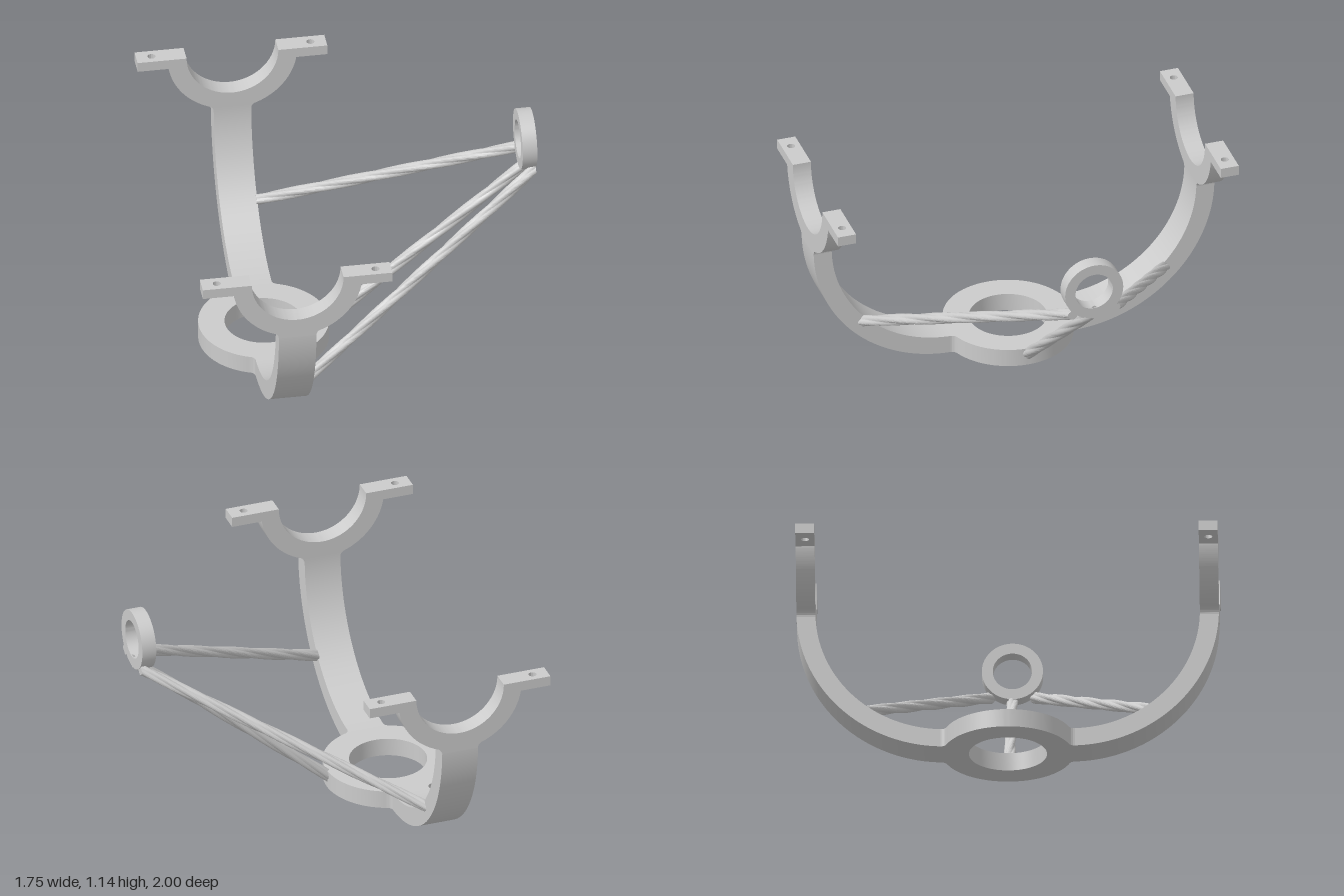
import * as THREE from 'three';
import { toCreasedNormals } from 'three/addons/utils/BufferGeometryUtils.js';

const PI = Math.PI;
const material = new THREE.MeshStandardMaterial({ color: 0xcccccc });
const CX = -0.42;            // x of the cradle's middle plane
const T = 0.09;              // plate thickness, also half the arm width
const R = 0.31;              // outer radius of base ring and yokes
const F = 0.03;              // fillet radius where an arm meets a ring
const NY = Math.sqrt((R + F) ** 2 - (T + F) ** 2);
const A = Math.atan2(NY, T + F);

function mesh(name, geometry, crease = 0.5) {
  const m = new THREE.Mesh(toCreasedNormals(geometry, crease), material);
  m.name = name;
  return m;
}

function extrude(shape, depth) {
  return new THREE.ExtrudeGeometry(shape, { depth, bevelEnabled: false, curveSegments: 40 });
}

function circleHole(x, y, r) {
  return new THREE.Path().absarc(x, y, r, 0, 2 * PI, true);
}

// Base ring with a filleted neck toward each arm
function baseRing() {
  const s = new THREE.Shape();
  s.moveTo(T, -NY);
  s.absarc(T + F, -NY, F, PI, PI - A, true);
  s.absarc(0, 0, R, -A, A, false);
  s.absarc(T + F, NY, F, PI + A, PI, true);
  s.lineTo(-T, NY);
  s.absarc(-T - F, NY, F, 0, -A, true);
  s.absarc(0, 0, R, PI - A, PI + A, false);
  s.absarc(-T - F, -NY, F, A, 0, true);
  s.holes.push(circleHole(0, 0, 0.185));
  const m = mesh('baseRing', extrude(s, T).rotateX(-PI / 2));
  m.position.x = CX;
  return m;
}

// Quarter-circle arm rising from the base to a yoke
function arm() {
  const s = new THREE.Shape();
  s.moveTo(0.3, 0);
  s.absarc(0.3, 0.7, 0.7, -PI / 2, 0, false);
  s.lineTo(1 - T, 0.7);
  s.absarc(0.3, 0.7, 0.7 - T, 0, -PI / 2, true);
  return mesh('arm', extrude(s, 2 * T).rotateY(-PI / 2).translate(T, 0, 0));
}

// Half-ring saddle on top of an arm
function yoke() {
  const b = Math.asin(0.05 / R), edge = R * Math.cos(b), r = 0.22;
  const s = new THREE.Shape();
  s.moveTo(T, -NY);
  s.absarc(T + F, -NY, F, PI, PI - A, true);
  s.absarc(0, 0, R, -A, -b, false);
  s.lineTo(edge, 0);
  s.lineTo(r, 0);
  s.absarc(0, 0, r, 0, -PI, true);
  s.lineTo(-edge, 0);
  s.absarc(0, 0, R, PI + b, PI + A, false);
  s.absarc(-T - F, -NY, F, A, 0, true);
  return mesh('yoke', extrude(s, T).translate(0, 1, 1 - T));
}

// Drilled mounting tab beside the saddle
function tab(side) {
  const s = new THREE.Shape();
  const x0 = 0.3, x1 = 0.455, h = T / 2;
  s.moveTo(x0, -h);
  s.lineTo(x1, -h);
  s.lineTo(x1, h);
  s.lineTo(x0, h);
  s.holes.push(circleHole(0.381, 0, 0.019));
  const m = mesh('mountingTab', extrude(s, 0.05).rotateX(-PI / 2));
  m.position.set(0, 0.95, 1 - h);
  if (side < 0) m.rotation.y = PI;
  return m;
}

// Upright eyelet facing along x
function eyelet() {
  const s = new THREE.Shape();
  s.absarc(0, 0, 0.145, 0, 2 * PI, false);
  s.holes.push(circleHole(0, 0, 0.093));
  const m = mesh('eyelet', extrude(s, 0.07).rotateY(PI / 2));
  m.position.set(0.8, 1, 0);
  return m;
}

// Twisted, lobed rod whose ends are cut flat across x
function twistedRod(name, start, end, turns) {
  const N = 24, M = 64, lobes = 4;
  const dir = end.clone().sub(start).normalize();
  const u = new THREE.Vector3(0, 1, 0).cross(dir).normalize();
  const v = dir.clone().cross(u);
  const pos = [], idx = [];
  for (let i = 0; i <= M; i++) {
    const c = start.clone().lerp(end, i / M);
    for (let j = 0; j < N; j++) {
      const a = (j / N) * 2 * PI;
      const twist = a + (i / M) * turns * 2 * PI;
      const r = 0.021 + 0.007 * Math.abs(Math.cos(a * lobes / 2));
      const o = u.clone().multiplyScalar(r * Math.cos(twist)).addScaledVector(v, r * Math.sin(twist));
      o.addScaledVector(dir, -o.x / dir.x).add(c);
      pos.push(o.x, o.y, o.z);
    }
  }
  for (let i = 0; i < M; i++) {
    for (let j = 0; j < N; j++) {
      const k = (j + 1) % N, a = i * N + j, b = i * N + k;
      idx.push(a, b, b + N, a, b + N, a + N);
    }
  }
  // End caps
  const last = M * N, c0 = pos.length / 3;
  pos.push(...start.toArray(), ...end.toArray());
  for (let j = 0; j < N; j++) {
    const k = (j + 1) % N;
    idx.push(c0, k, j, c0 + 1, last + j, last + k);
  }
  const g = new THREE.BufferGeometry();
  g.setAttribute('position', new THREE.Float32BufferAttribute(pos, 3));
  g.setIndex(idx);
  return mesh(name, g, 0.6);
}

export function createModel() {
  const model = new THREE.Group();
  model.name = 'cradleBracket';
  model.add(baseRing(), eyelet());

  // Front and back arms with their yokes
  for (const side of [1, -1]) {
    const support = new THREE.Group();
    support.name = side > 0 ? 'frontSupport' : 'backSupport';
    support.add(arm(), yoke(), tab(1), tab(-1));
    support.position.x = CX;
    if (side < 0) support.rotation.y = PI;
    model.add(support);

    model.add(twistedRod(side > 0 ? 'frontRod' : 'backRod',
      new THREE.Vector3(-0.335, 0.26, 0.75 * side),
      new THREE.Vector3(0.867, 0.893, 0.1 * side), 1.25));
  }

  model.add(twistedRod('middleRod',
    new THREE.Vector3(-0.125, 0.052, 0),
    new THREE.Vector3(0.867, 0.882, 0), 1));
  return model;
}
